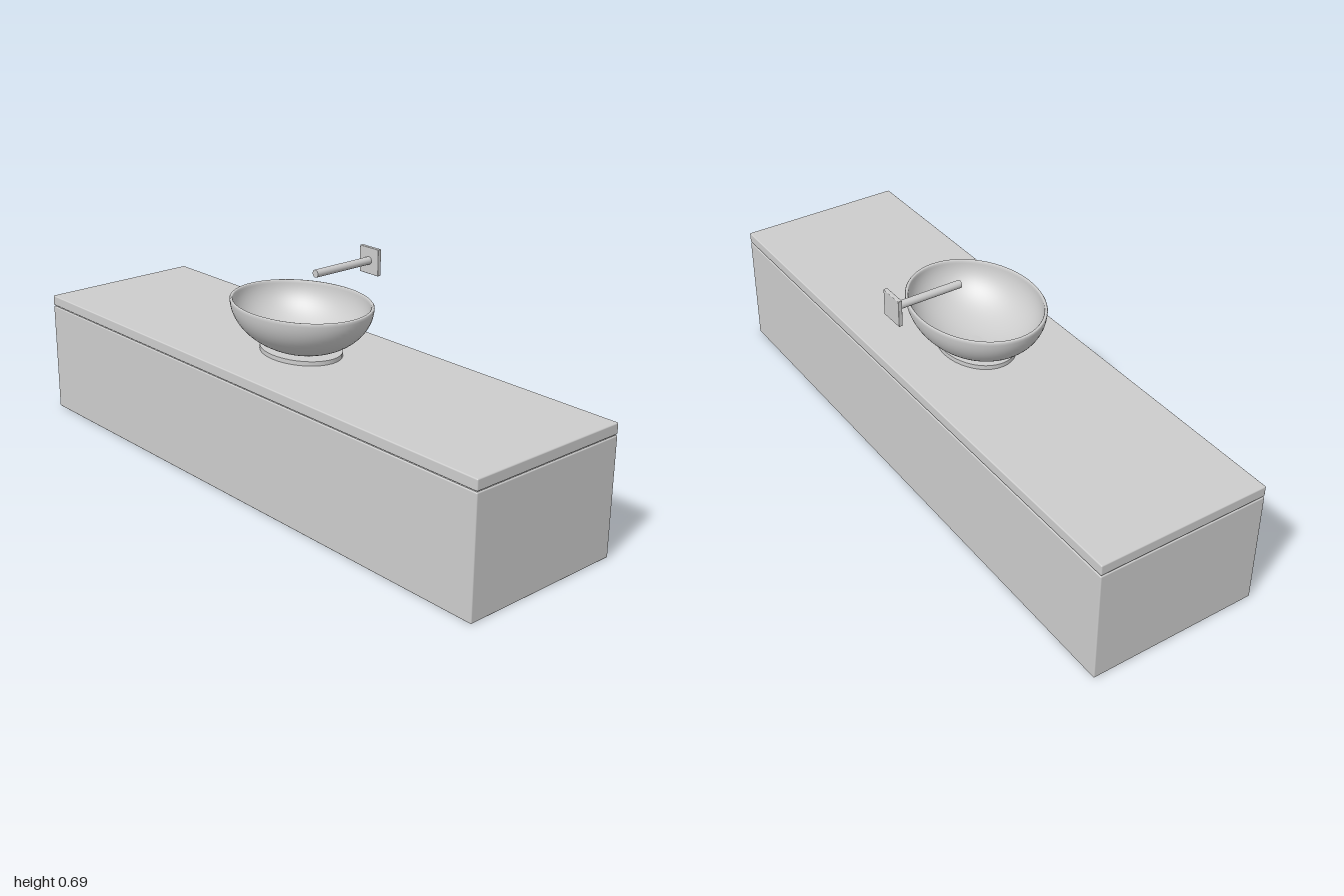
import * as THREE from 'three';
import { RoundedBoxGeometry } from 'three/addons/geometries/RoundedBoxGeometry.js';

export function createModel() {
  const group = new THREE.Group();
  group.name = 'washbasinUnit';
  const grey = new THREE.MeshStandardMaterial({ color: 0xcccccc });
  grey.name = 'light grey';

  const add = (name, geometry, x, y, z) => {
    const mesh = new THREE.Mesh(geometry, grey);
    mesh.name = name;
    mesh.position.set(x, y, z);
    group.add(mesh);
    return mesh;
  };
  // box with softened edges, given by its y and z limits
  const slab = (name, width, y0, y1, z0, z1, r) =>
    add(name, new RoundedBoxGeometry(width, y1 - y0, z1 - z0, 2, r), 0, (y0 + y1) / 2, (z0 + z1) / 2);

  // cabinet, a shadow gap and the worktop
  slab('cabinet', 2, 0, 0.375, -0.275, 0.288, 0.004);
  slab('gapFiller', 1.992, 0.37, 0.384, -0.271, 0.284, 0.001);
  slab('worktop', 2, 0.378, 0.413, -0.275, 0.288, 0.004);

  // oval foot under the bowl
  const foot = add('basinFoot', new THREE.CylinderGeometry(0.1135, 0.1135, 0.016, 40), 0, 0.419, 0.008);
  foot.scale.x = 1.3;

  // oval bowl: outer wall, rounded rim, inner wall
  const rim = 0.577;
  const profile = [];
  const steps = 24;
  for (let i = 0; i <= steps; i++) {
    const a = (i / steps) * Math.PI / 2;
    profile.push(new THREE.Vector2(0.2 * Math.sin(a), -0.161 * Math.cos(a)));
  }
  profile[steps].y = -0.003;
  profile.push(new THREE.Vector2(0.198, 0), new THREE.Vector2(0.193, 0), new THREE.Vector2(0.191, -0.003));
  for (let i = steps - 1; i >= 0; i--) {
    const a = (i / steps) * Math.PI / 2;
    profile.push(new THREE.Vector2(0.191 * Math.sin(a), -0.151 * Math.cos(a)));
  }
  const bowl = add('basinBowl', new THREE.LatheGeometry(profile, 64), 0, rim, 0.007);
  bowl.scale.x = 1.25;

  // wall spout and its square back plate
  const spout = new THREE.CylinderGeometry(0.0125, 0.0125, 0.23, 32);
  spout.rotateX(Math.PI / 2);
  add('spout', spout, 0, 0.652, -0.165);
  slab('wallPlate', 0.084, 0.608, 0.695, -0.288, -0.275, 0.002);

  return group;
}
